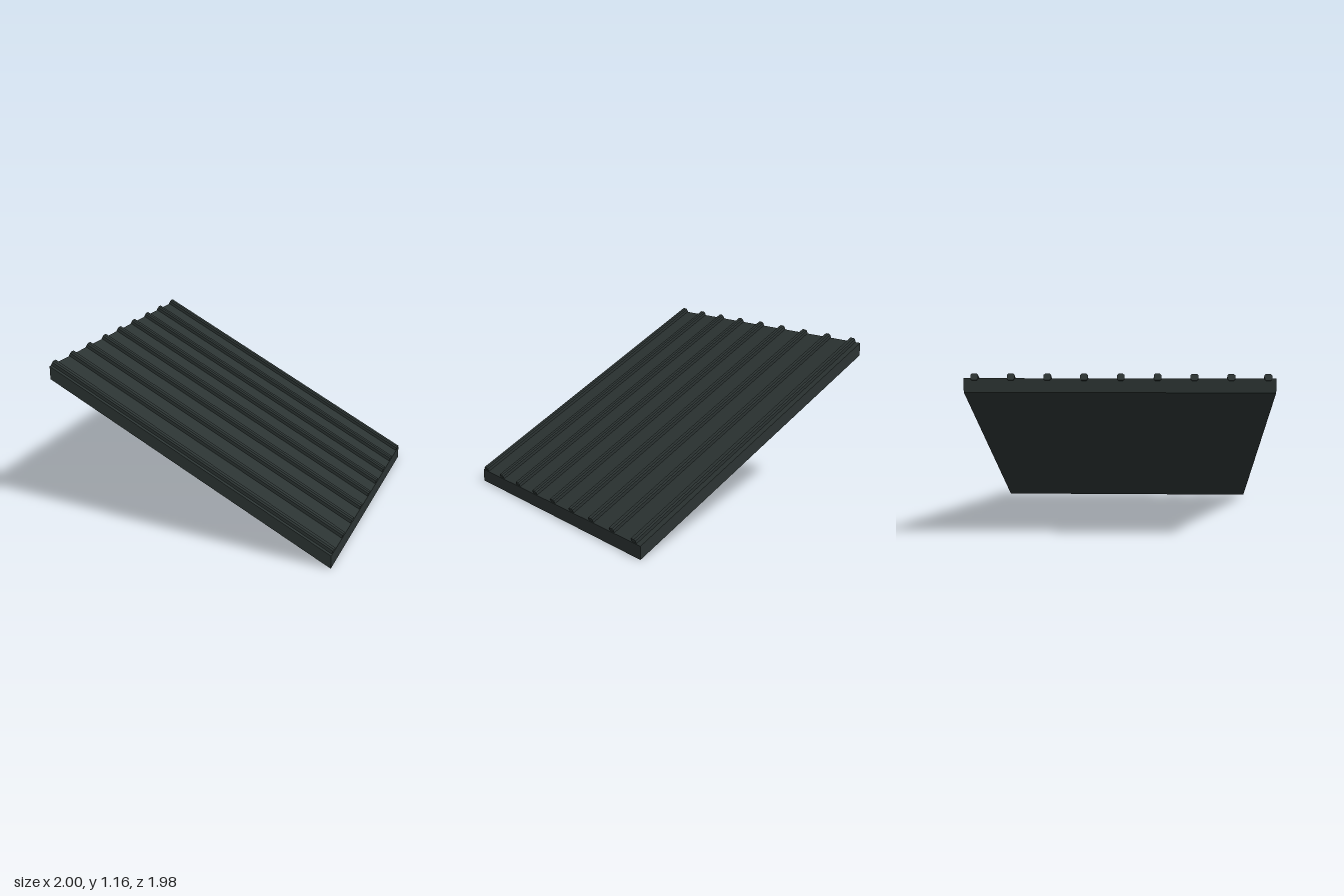
import * as THREE from 'three';

// Sloped metal roof panel with raised seams running down the slope
export function createModel() {
  const model = new THREE.Group();
  const metal = new THREE.MeshStandardMaterial({ color: 0x2b3332 });
  metal.name = 'dark roof metal';

  const half = 0.99, high = 1.13, thick = 0.09;
  const slope = (high - thick) / (2 * half);
  const angle = Math.atan(slope);

  const extrude = (points, depth) => {
    const shape = new THREE.Shape(points.map(([x, y]) => new THREE.Vector2(x, y)));
    return new THREE.ExtrudeGeometry(shape, { depth, bevelEnabled: false })
      .translate(0, 0, -depth / 2);
  };

  // Slab with upright ends
  const slab = new THREE.Mesh(extrude([
    [-half, high - thick], [half, 0], [half, thick], [-half, high],
  ], 2 * half), metal);
  slab.name = 'roofSlab';
  model.add(slab);

  // Chamfered seams, partly sunk into the slab, with ends square to the slope
  const w = 0.024, h = 0.0225, c = 0.0095;
  const seamGeometry = extrude([
    [-w + c, -h], [w - c, -h], [w, -h + c], [w, h - c],
    [w - c, h], [-w + c, h], [-w, h - c], [-w, -h + c],
  ], 2 * 0.9895 / Math.cos(angle)).rotateY(Math.PI / 2).rotateZ(-angle);

  const seams = new THREE.Group();
  seams.name = 'seams';
  for (let i = -4; i <= 4; i++) {
    const seam = new THREE.Mesh(seamGeometry, metal);
    seam.name = 'seam';
    seam.position.set(0, (high + thick) / 2 + 0.01, 0.009 + i * 0.2327);
    seams.add(seam);
  }
  model.add(seams);
  return model;
}
